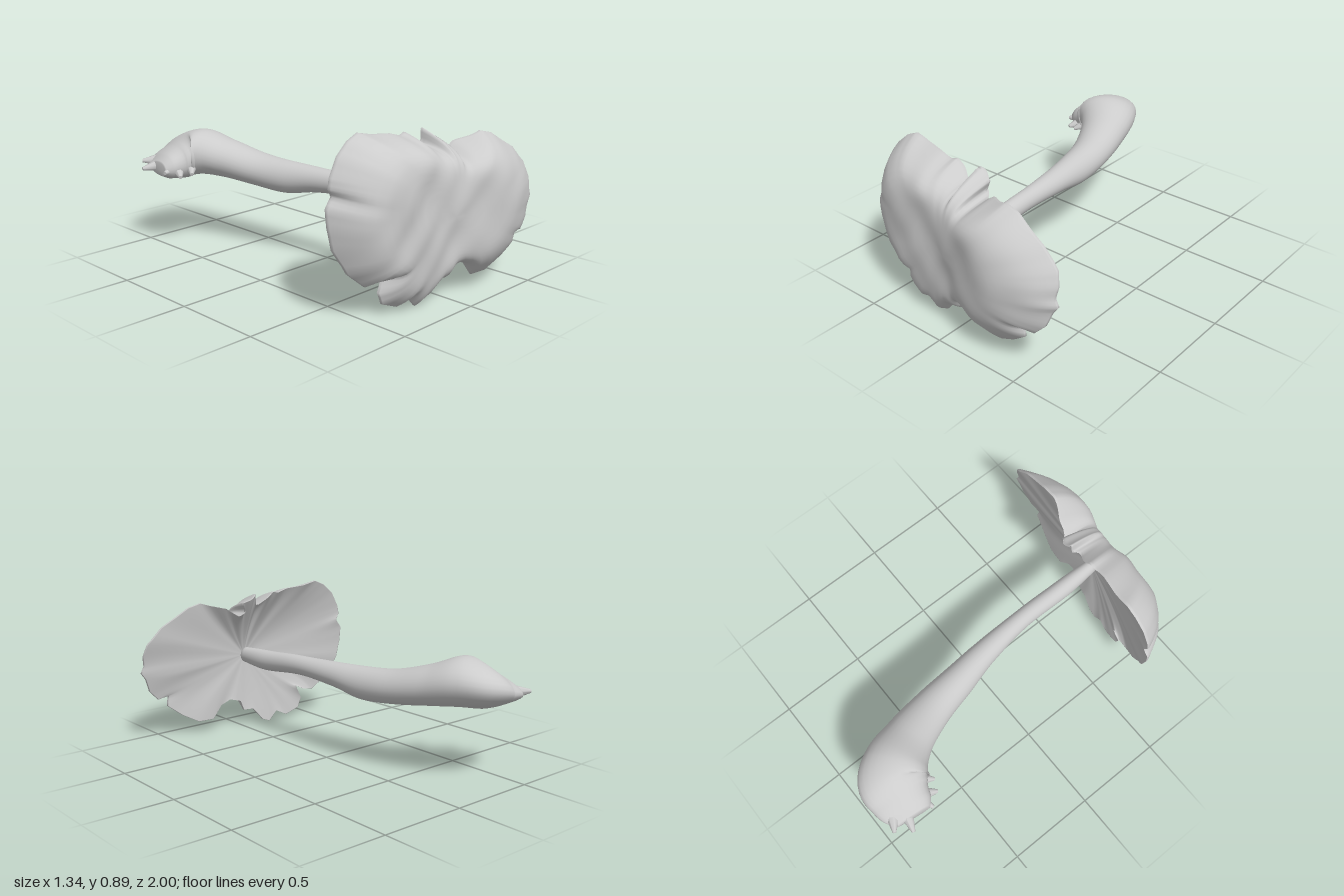
import * as THREE from 'three';
import { mergeVertices } from 'three/addons/utils/BufferGeometryUtils.js';

const material = new THREE.MeshStandardMaterial({ color: 0xcccccc, side: THREE.DoubleSide });
const CENTRE = [-0.03, 0.45];

// Ragged outline of the cap, counter-clockwise from its left tip
const OUTLINE = [
  [0.67, 0.43], [0.65, 0.47], [0.66, 0.53], [0.64, 0.6], [0.55, 0.69], [0.46, 0.74], [0.38, 0.79],
  [0.3, 0.81], [0.24, 0.79], [0.16, 0.77], [0.09, 0.72], [0.06, 0.75], [0.08, 0.8], [0.04, 0.82],
  [0, 0.85], [-0.01, 0.78], [-0.05, 0.78], [-0.1, 0.82], [-0.14, 0.85], [-0.18, 0.84], [-0.25, 0.86],
  [-0.36, 0.87], [-0.45, 0.89], [-0.52, 0.86], [-0.59, 0.8], [-0.64, 0.71], [-0.65, 0.66], [-0.63, 0.62],
  [-0.67, 0.57], [-0.67, 0.48], [-0.65, 0.37], [-0.59, 0.25], [-0.5, 0.17], [-0.43, 0.18], [-0.37, 0.21],
  [-0.42, 0.12], [-0.4, 0.06], [-0.31, 0.025], [-0.24, 0.06], [-0.19, 0], [-0.14, 0.02], [-0.07, 0.1],
  [-0.01, 0.1], [0.01, 0.16], [0.08, 0.18], [0.14, 0.15], [0.2, 0.075], [0.3, 0.075], [0.4, 0.13],
  [0.49, 0.2], [0.48, 0.26], [0.55, 0.25], [0.61, 0.31], [0.64, 0.39],
];

// Depth of the rim by angle in degrees
const RIM = [
  [0, 0.87], [18, 0.83], [47, 0.8], [60, 0.74], [72, 0.68], [82, 0.65], [92, 0.7], [102, 0.67], [114, 0.68],
  [134, 0.65], [165, 0.66], [185, 0.68], [200, 0.72], [212, 0.75], [225, 0.77], [252, 0.8], [285, 0.83],
  [300, 0.85], [340, 0.9], [360, 0.87],
];

function rimDepth(angle) {
  const deg = (THREE.MathUtils.radToDeg(angle) + 360) % 360;
  const i = Math.max(1, RIM.findIndex(([a]) => a >= deg));
  const [a0, z0] = RIM[i - 1], [a1, z1] = RIM[i];
  return THREE.MathUtils.lerp(z0, z1, THREE.MathUtils.smoothstep(deg, a0, a1));
}

// Skin a list of closed rings, each an array of Vector3
function loft(rings) {
  const n = rings[0].length, index = [];
  for (let i = 0; i < rings.length - 1; i++) {
    for (let j = 0; j < n; j++) {
      const k = (j + 1) % n, a = i * n, b = a + n;
      index.push(a + j, b + j, b + k, a + j, b + k, a + k);
    }
  }
  let geometry = new THREE.BufferGeometry().setFromPoints(rings.flat());
  geometry.setIndex(index);
  geometry = mergeVertices(geometry, 1e-5);
  geometry.computeVertexNormals();
  return geometry;
}

function addMesh(group, name, geometry) {
  const mesh = new THREE.Mesh(geometry, material);
  mesh.name = name;
  group.add(mesh);
  return mesh;
}

// Two-lobed cap: steep-sided front, thin rim and shallow funnel at the back
function capGeometry() {
  const edge = OUTLINE.flatMap(([x, y], i) => {
    const [u, v] = OUTLINE[(i + 1) % OUTLINE.length];
    return [0, 1 / 3, 2 / 3].map((t) => [x + (u - x) * t, y + (v - y) * t]);
  });
  // Inner rings follow a softened outline so that notches fade out
  const soft = edge.map((_, i) => {
    const sum = [0, 0];
    for (let k = -7; k <= 7; k++) {
      const p = edge[(i + k + edge.length) % edge.length];
      sum[0] += p[0] / 15;
      sum[1] += p[1] / 15;
    }
    return sum;
  });
  const ring = (s, back) => edge.map(([ex, ey], i) => {
    const w = s ** 5;
    const dx = THREE.MathUtils.lerp(soft[i][0], ex, w) - CENTRE[0];
    const dy = THREE.MathUtils.lerp(soft[i][1], ey, w) - CENTRE[1];
    const x = CENTRE[0] + dx * s, y = CENTRE[1] + dy * s;
    const rim = rimDepth(Math.atan2(ey - CENTRE[1], ex - CENTRE[0]));
    if (back) return new THREE.Vector3(x, y, THREE.MathUtils.lerp(0.825, rim - 0.012, s ** 1.5));
    const side = THREE.MathUtils.smoothstep(x, -0.15, 0.38);
    const plate = 0.895 + 0.105 * side;
    const bump = 0.008 * Math.sin(17 * x + 2) * Math.sin(15 * y + 4 * x) + 0.004 * Math.sin(31 * x - 23 * y);
    const z = plate - (plate - rim) * s ** (8 - 3 * side) + bump * (1 - w) * (1 - 0.6 * side);
    return new THREE.Vector3(x, y, z);
  });
  const steps = Array.from({ length: 19 }, (_, i) => Math.sin((i / 18) * Math.PI / 2));
  return loft([
    ...steps.map((s) => ring(s, false)),
    ...steps.slice().reverse().map((s) => ring(s, true)),
  ]);
}

// Stem stations: x, y, z, half width, half height
const STEM = [
  [-0.04, 0.45, 0.84, 0.035, 0.045], [-0.045, 0.45, 0.6, 0.051, 0.06], [-0.05, 0.475, 0.3, 0.052, 0.056],
  [-0.075, 0.47, 0, 0.071, 0.07], [-0.105, 0.455, -0.2, 0.092, 0.092], [-0.14, 0.47, -0.4, 0.11, 0.095],
  [-0.2, 0.51, -0.6, 0.135, 0.11], [-0.27, 0.543, -0.74, 0.17, 0.13], [-0.34, 0.53, -0.81, 0.188, 0.125],
  [-0.42, 0.5, -0.83, 0.165, 0.095], [-0.5, 0.48, -0.835, 0.135, 0.065], [-0.545, 0.47, -0.84, 0.1, 0.035],
];

// Stem: oval sections along a bend, swelling into a bulb that thins on its outer side
function stemGeometry() {
  const path = new THREE.CatmullRomCurve3(STEM.map(([x, y, z]) => new THREE.Vector3(x, y, z)));
  const sizes = new THREE.CatmullRomCurve3(STEM.map((p) => new THREE.Vector3(p[3], p[4], 0)));
  const up = new THREE.Vector3(0, 1, 0);
  const rings = [], rows = 66, sides = 28;
  const addRing = (t, scale) => {
    const c = path.getPoint(t), size = sizes.getPoint(t).multiplyScalar(scale);
    const across = path.getTangent(t).cross(up).normalize();
    rings.push(Array.from({ length: sides }, (_, j) => {
      const a = (j / sides) * Math.PI * 2;
      const bump = 1 + 0.03 * Math.sin(3 * a + 9 * t) * t;
      const thin = 1 - 0.4 * t ** 3 * Math.cos(a);
      return c.clone().addScaledVector(across, Math.cos(a) * size.x * bump)
        .addScaledVector(up, Math.sin(a) * size.y * bump * thin);
    }));
  };
  addRing(0, 0);
  for (let i = 0; i <= rows; i++) addRing(i / rows, 1);
  addRing(1, 0);
  return loft(rings);
}

// Torn root tips: base then tip
const ROOTS = [
  [[-0.5, 0.48, -0.86], [-0.605, 0.465, -0.89]], [[-0.46, 0.49, -0.92], [-0.55, 0.49, -0.97]],
  [[-0.48, 0.47, -0.77], [-0.565, 0.46, -0.73]], [[-0.4, 0.48, -0.71], [-0.45, 0.45, -0.635]],
  [[-0.47, 0.46, -0.74], [-0.51, 0.44, -0.66]],
];

export function createModel() {
  const model = new THREE.Group();
  model.name = 'mushroom';
  addMesh(model, 'cap', capGeometry());
  addMesh(model, 'stem', stemGeometry());

  const roots = new THREE.Group();
  roots.name = 'roots';
  model.add(roots);
  for (const [from, to] of ROOTS) {
    const base = new THREE.Vector3(...from), tip = new THREE.Vector3(...to);
    const direction = tip.clone().sub(base);
    const root = addMesh(roots, 'rootTip', new THREE.CylinderGeometry(0.01, 0.04, direction.length(), 8));
    root.position.copy(base).add(tip).multiplyScalar(0.5);
    root.quaternion.setFromUnitVectors(new THREE.Vector3(0, 1, 0), direction.normalize());
  }
  return model;
}
